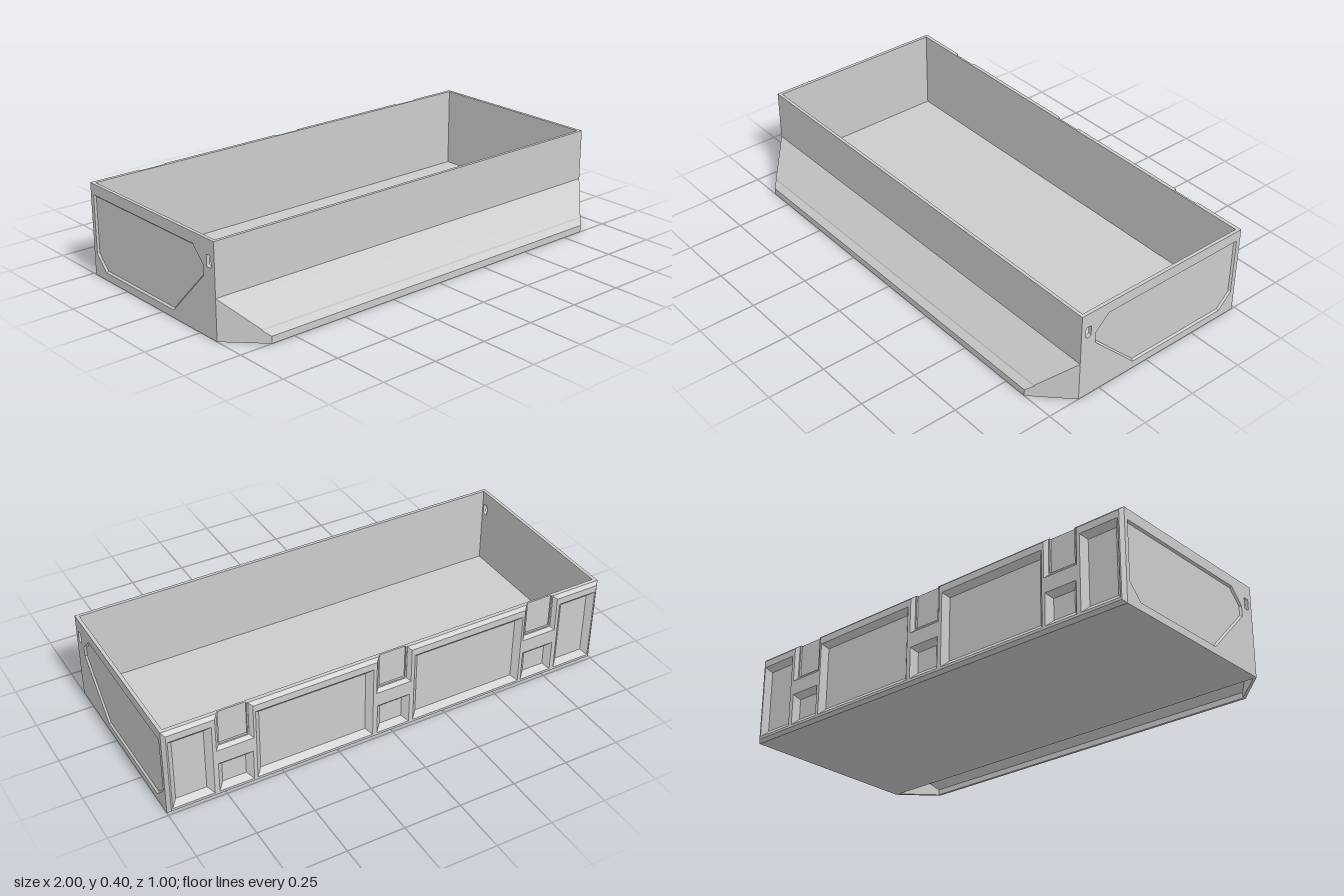
import * as THREE from 'three';

const material = new THREE.MeshStandardMaterial({ color: 0xcccccc, flatShading: true, side: THREE.DoubleSide });

const H = 0.4;          // bin height
const FRONT = 0.355;    // outer face of the front wall
const BACK = -0.484;    // where the chamfered back layer starts
const BEVEL = 0.014;    // chamfer around the back
const DEPTH = 0.022;    // depth of the back pockets

function add(parent, name, geometry) {
  const mesh = new THREE.Mesh(geometry, material);
  mesh.name = name;
  parent.add(mesh);
}

function block(parent, name, x0, x1, y0, y1, z0, z1) {
  const g = new THREE.BoxGeometry(x1 - x0, y1 - y0, z1 - z0);
  g.translate((x0 + x1) / 2, (y0 + y1) / 2, (z0 + z1) / 2);
  add(parent, name, g);
}

const rect = (x0, x1, y0, y1) => [[x0, y0], [x1, y0], [x1, y1], [x0, y1]];
const vectors = pts => pts.map(p => new THREE.Vector2(p[0], p[1]));

function shapeOf(outline, holes) {
  const shape = new THREE.Shape(vectors(outline));
  holes.forEach(h => shape.holes.push(new THREE.Path(vectors(h))));
  return shape;
}

const plate = (outline, holes, depth, w) =>
  new THREE.ExtrudeGeometry(shapeOf(outline, holes), { depth, bevelEnabled: false }).translate(0, 0, w);

// Moves every edge of a convex outline inward by d
function inset(pts, d) {
  const v = vectors(pts);
  const sign = THREE.ShapeUtils.isClockWise(v) ? -1 : 1;
  const n = v.length;
  return v.map((p, i) => {
    const a = p.clone().sub(v[(i + n - 1) % n]).normalize();
    const b = v[(i + 1) % n].clone().sub(p).normalize();
    const na = new THREE.Vector2(-a.y, a.x), nb = new THREE.Vector2(-b.y, b.x);
    const k = sign * d / (1 + na.dot(nb));
    return [p.x + (na.x + nb.x) * k, p.y + (na.y + nb.y) * k];
  });
}

// Skin through rows of equally many points
function loft(rows, closed) {
  const pos = [];
  for (let r = 0; r < rows.length - 1; r++) {
    const a = rows[r], b = rows[r + 1], n = a.length;
    for (let i = 0; i < (closed ? n : n - 1); i++) {
      const j = (i + 1) % n;
      pos.push(...a[i], ...a[j], ...b[j], ...a[i], ...b[j], ...b[i]);
    }
  }
  const g = new THREE.BufferGeometry();
  g.setAttribute('position', new THREE.Float32BufferAttribute(pos, 3));
  g.computeVertexNormals();
  return g;
}

// Sloping band from an outline at height w down to a smaller one
function recessBand(outline, width, w, depth) {
  // wind counter-clockwise so the band faces out of the recess
  const pts = THREE.ShapeUtils.isClockWise(vectors(outline)) ? [...outline].reverse() : outline;
  return loft([
    pts.map(p => [p[0], p[1], w]),
    inset(pts, width).map(p => [p[0], p[1], w - depth]),
  ], true);
}

// Rounded hand slot near the front of each side wall
function slotOutline() {
  const pts = [];
  [[0.327, 0.331], [0.313, 0.331], [0.313, 0.294], [0.327, 0.294]].forEach(([z, y], q) => {
    for (let i = 0; i <= 3; i++) {
      const a = (q + i / 3) * Math.PI / 2;
      pts.push([z + 0.006 * Math.cos(a), y + 0.006 * Math.sin(a)]);
    }
  });
  return pts;
}

// Side wall with a recessed label panel; s = 1 or -1
function sideWall(s) {
  const group = new THREE.Group();
  group.name = s > 0 ? 'leftSide' : 'rightSide';
  const map = pts => pts.map(([z, y]) => [-s * z, y]);
  const wall = map(rect(-0.468, FRONT, 0, H));
  const slot = map(slotOutline());
  const panel = map([[0.283, 0.289], [0.219, 0.353], [-0.465, 0.353], [-0.465, 0.097],
    [-0.402, 0.033], [0.075, 0.033], [0.283, 0.243]]);
  const turn = g => g.rotateY(s * Math.PI / 2);
  add(group, 'sideWall', turn(plate(wall, [slot], 0.007, 0.985)));
  add(group, 'sideFrame', turn(plate(wall, [slot, panel], 0.008, 0.992)));
  add(group, 'panelEdge', turn(recessBand(panel, 0.007, 1, 0.008)));
  return group;
}

// Outline whose top edge is notched at each clip position
function notched(x, y0, y1, clips, half, foot) {
  const pts = [[-x, y0], [x, y0], [x, y1]];
  clips.forEach(c => pts.push([c + half, y1], [c + half, foot], [c - half, foot], [c - half, y1]));
  pts.push([-x, y1]);
  return pts;
}

// Back wall: chamfered layer with pockets and top clip notches
function backWall() {
  const group = new THREE.Group();
  group.name = 'back';
  const clips = [0.705, 0, -0.705];
  const pockets = clips.map(c => rect(c - 0.075, c + 0.075, 0.025, 0.165));
  [1, -1].forEach(s => {
    const span = (a, b) => rect(Math.min(s * a, s * b), Math.max(s * a, s * b), 0.025, 0.355);
    pockets.push(span(0.095, 0.615), span(0.8, 0.98));
  });

  // local w runs backward from the base of the chamfered layer
  const place = g => g.rotateY(Math.PI).translate(0, 0, BACK);
  const step = DEPTH - BEVEL;
  block(group, 'backWall', -1, 1, 0, H, BACK + step, -0.468);
  const middle = notched(1, 0, H, clips, 0.06, 0.25);
  add(group, 'backMiddle', place(plate(middle, pockets.map(p => inset(p, BEVEL)), step, -step)));

  const outer = notched(1 - BEVEL, BEVEL, H - BEVEL, clips, 0.08, 0.23);
  add(group, 'backFrame', place(new THREE.ExtrudeGeometry(shapeOf(outer, pockets), {
    depth: 0.0005, bevelEnabled: true, bevelSegments: 1, bevelSize: BEVEL, bevelThickness: BEVEL,
  })));
  pockets.forEach(p => add(group, 'pocketEdge', place(recessBand(p, DEPTH + 0.002, BEVEL + 0.0005, DEPTH + 0.0005))));
  return group;
}

// Hollow sloping lip at the front, open underneath
function frontLip() {
  // y, z and shell inset of each level, down the outside and up the inside
  const levels = [
    [0.175, 0.355, 0], [0.057, 0.473, 0], [0.051, 0.475, 0], [0.03, 0.5, 0], [0, 0.5, 0],
    [0, 0.488, 0.017], [0.025, 0.488, 0.017], [0.158, 0.355, 0.017],
  ];
  const rows = levels.map(([y, z, t]) => {
    const half = 1 - (z - FRONT) - t;
    return [[-1 + t, y, FRONT], [-half, y, z], [half, y, z], [1 - t, y, FRONT]];
  });
  return loft(rows, false);
}

export function createModel() {
  const model = new THREE.Group();
  model.name = 'storageBin';
  block(model, 'floor', -0.986, 0.986, 0, 0.045, -0.47, 0.345);
  block(model, 'frontWall', -0.986, 0.986, 0, H, 0.341, FRONT);
  model.add(sideWall(1), sideWall(-1), backWall());
  add(model, 'frontLip', frontLip());
  return model;
}
